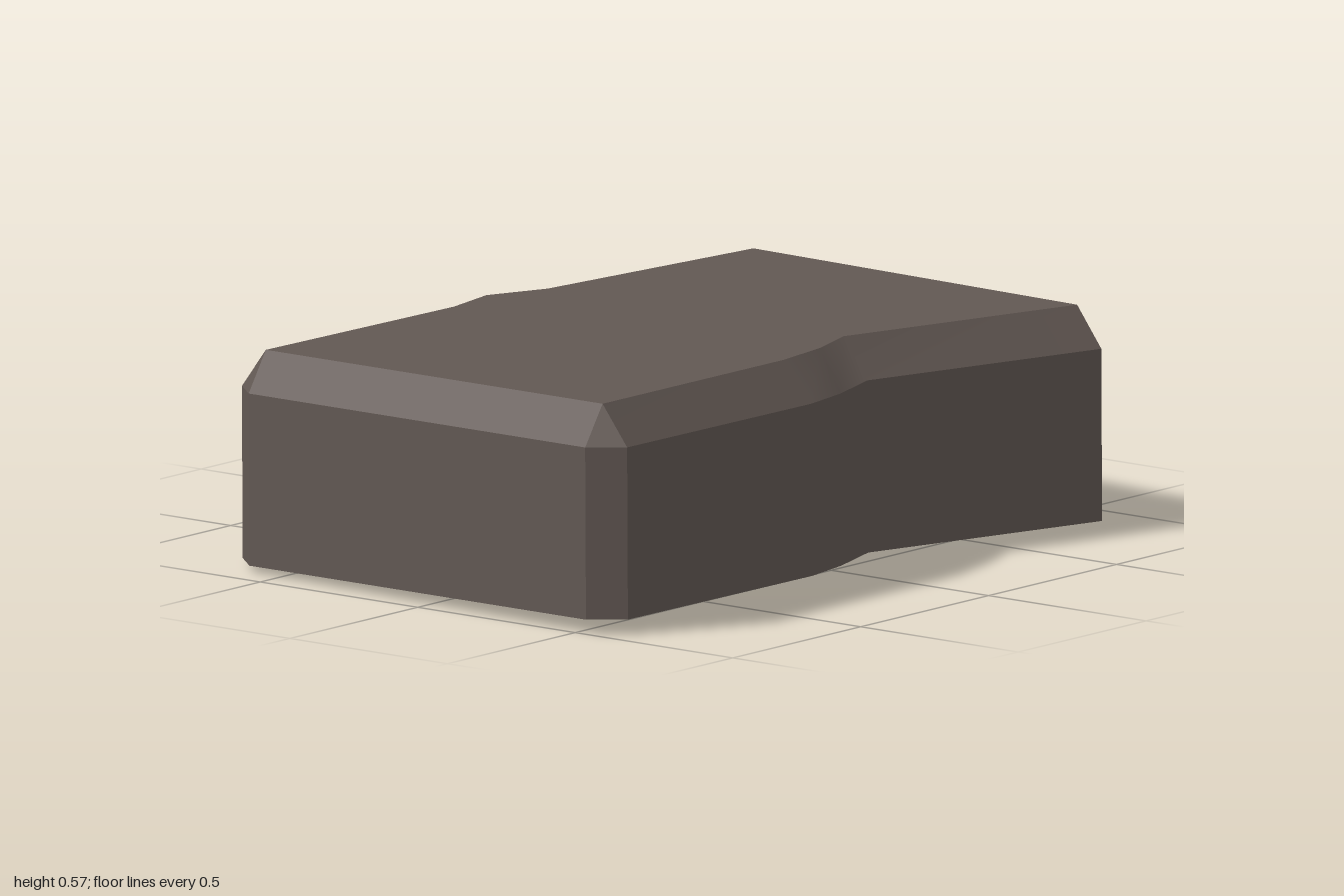
import * as THREE from 'three';
import { mergeGeometries } from 'three/addons/utils/BufferGeometryUtils.js';

// Widest outline (x, z), then the inset outline of the top face, point for point
const RIM = [[-0.51, -1], [0.62, -0.885], [0.7, -0.81], [0.51, -0.13], [0.57, 0.05], [0.6, 0.2], [0.612, 0.935],
  [0.53, 0.998], [-0.6, 0.922], [-0.68, 0.85], [-0.68, 0.12], [-0.708, -0.05], [-0.645, -0.21], [-0.6, -0.945]];
const TOP = [[-0.51, -0.94], [0.615, -0.82], [0.615, -0.82], [0.425, -0.14], [0.48, 0.02], [0.51, 0.2], [0.53, 0.93],
  [0.53, 0.93], [-0.6, 0.855], [-0.6, 0.855], [-0.6, 0.12], [-0.635, -0.05], [-0.57, -0.21], [-0.51, -0.94]];
// Each run of the outline is smooth inside and sharp at its ends
const RUNS = [[0, 1], [1, 2], [2, 6], [6, 7], [7, 8], [8, 9], [9, 13], [13, 14]];

// Lays an outline on a slightly tilted plane
const ring = (outline, height, dx = 0, dz = 0) => outline.map(([x, z]) =>
  new THREE.Vector3(x + dx, height + 0.0171 * x + 0.009 * z, z + dz));

function indexed(points, index) {
  const geometry = new THREE.BufferGeometry().setFromPoints(points);
  geometry.setIndex(index);
  geometry.computeVertexNormals();
  return geometry;
}

// Band of faces between two rings
function band(lower, upper) {
  return mergeGeometries(RUNS.map(([start, end]) => {
    const points = [], index = [];
    for (let i = start; i <= end; i++) {
      points.push(lower[i % lower.length], upper[i % upper.length]);
      if (i > start) {
        const b1 = points.length - 2, t1 = b1 + 1, b0 = b1 - 2, t0 = b1 - 1;
        index.push(b1, b0, t0, b1, t0, t1);
      }
    }
    return indexed(points, index);
  }));
}

// Flat face filling a ring, facing up (1) or down (-1)
function cap(points, facing) {
  const flat = points.map(p => new THREE.Vector2(p.x, -p.z));
  const index = THREE.ShapeUtils.triangulateShape(flat.slice(), []).flatMap(([a, b, c]) => {
    const area = THREE.ShapeUtils.area([flat[a], flat[b], flat[c]]);
    return area * facing > 0 ? [a, b, c] : [a, c, b];
  });
  return indexed(points, index);
}

export function createModel() {
  const stone = new THREE.MeshStandardMaterial({ color: 0x625853 });
  stone.name = 'brown grey stone';

  const base = ring(RIM, 0.021, 0.004, 0.002);
  const rim = ring(RIM, 0.453);
  const top = ring(TOP, 0.553);

  const group = new THREE.Group();
  group.name = 'stoneSlab';
  const parts = {
    sideWalls: band(base, rim),
    bevelledEdge: band(rim, top),
    topFace: cap(top, 1),
    underside: cap(base, -1),
  };
  for (const [name, geometry] of Object.entries(parts)) {
    const mesh = new THREE.Mesh(geometry, stone);
    mesh.name = name;
    group.add(mesh);
  }
  return group;
}
